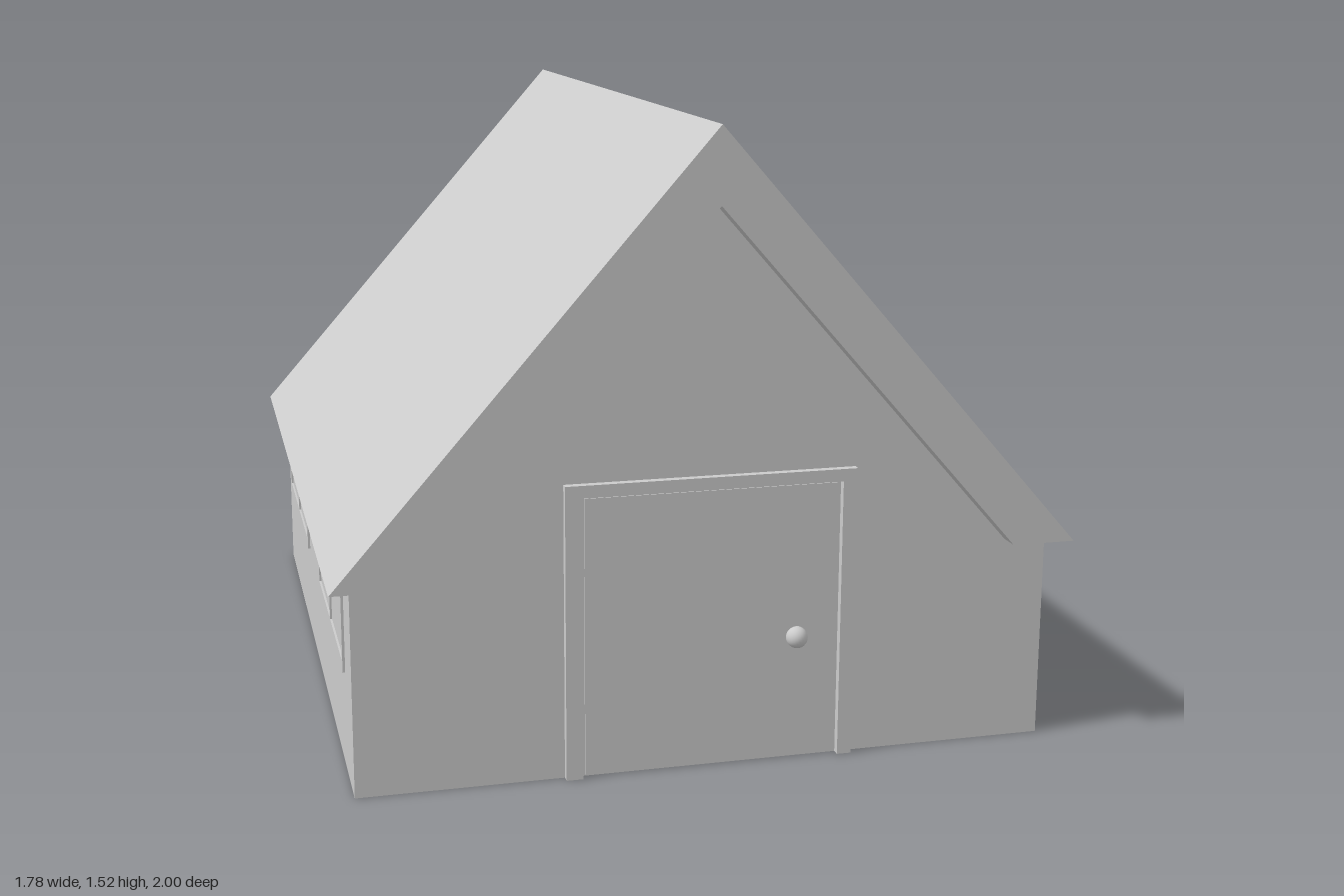
import * as THREE from 'three';

const material = new THREE.MeshStandardMaterial({ color: 0xcccccc, flatShading: true });
const smooth = new THREE.MeshStandardMaterial({ color: 0xcccccc });

function polygon(points, Type = THREE.Shape) {
  return new Type(points.map(([x, y]) => new THREE.Vector2(x, y)));
}

function rect(x0, y0, x1, y1, Type = THREE.Shape) {
  return polygon([[x0, y0], [x1, y0], [x1, y1], [x0, y1]], Type);
}

// Extrudes a shape in the xy plane from z0 to z1
function slab(name, shape, z0, z1) {
  const geometry = new THREE.ExtrudeGeometry(shape, { depth: z1 - z0, bevelEnabled: false });
  geometry.translate(0, 0, z0);
  const mesh = new THREE.Mesh(geometry, material);
  mesh.name = name;
  return mesh;
}

// Double window facing +z, centred on its own x = 0
function createWindow() {
  const group = new THREE.Group();
  group.name = 'window';
  const frame = rect(-0.315, 0.25, 0.315, 0.53);
  for (const side of [-1, 1]) {
    frame.holes.push(rect(side * 0.15 - 0.143, 0.275, side * 0.15 + 0.143, 0.505, THREE.Path));
  }
  group.add(slab('windowFrame', frame, -0.01, 0.006));
  group.add(slab('windowPanes', rect(-0.3, 0.27, 0.3, 0.52), -0.01, 0.001));
  return group;
}

export function createModel() {
  const house = new THREE.Group();
  house.name = 'house';

  // Walls with gables
  const walls = polygon([[-0.84, 0], [0.84, 0], [0.84, 0.52], [0, 1.42], [-0.84, 0.52]]);
  house.add(slab('walls', walls, -0.93, 0.945));

  // Thick roof with horizontal eaves
  const roof = polygon([
    [-0.89, 0.505], [-0.735, 0.505], [0, 1.34], [0.735, 0.505], [0.89, 0.505], [0, 1.52],
  ]);
  house.add(slab('roof', roof, -1, 1));

  // Door, surround and knob
  const surround = polygon([
    [-0.35, 0], [-0.31, 0], [-0.31, 0.68], [0.315, 0.68],
    [0.315, 0], [0.35, 0], [0.35, 0.71], [-0.35, 0.71],
  ]);
  house.add(slab('doorFrame', surround, 0.93, 0.964));
  house.add(slab('door', rect(-0.302, 0.004, 0.31, 0.675), 0.93, 0.95));
  const knob = new THREE.Mesh(new THREE.SphereGeometry(0.026, 24, 16), smooth);
  knob.name = 'doorKnob';
  knob.position.set(0.21, 0.303, 0.956);
  house.add(knob);

  // Two windows on each long side
  for (const side of [-1, 1]) {
    for (const z of [-0.495, 0.485]) {
      const win = createWindow();
      win.position.set(side * 0.84, 0, z);
      win.rotation.y = side * Math.PI / 2;
      house.add(win);
    }
  }
  return house;
}
